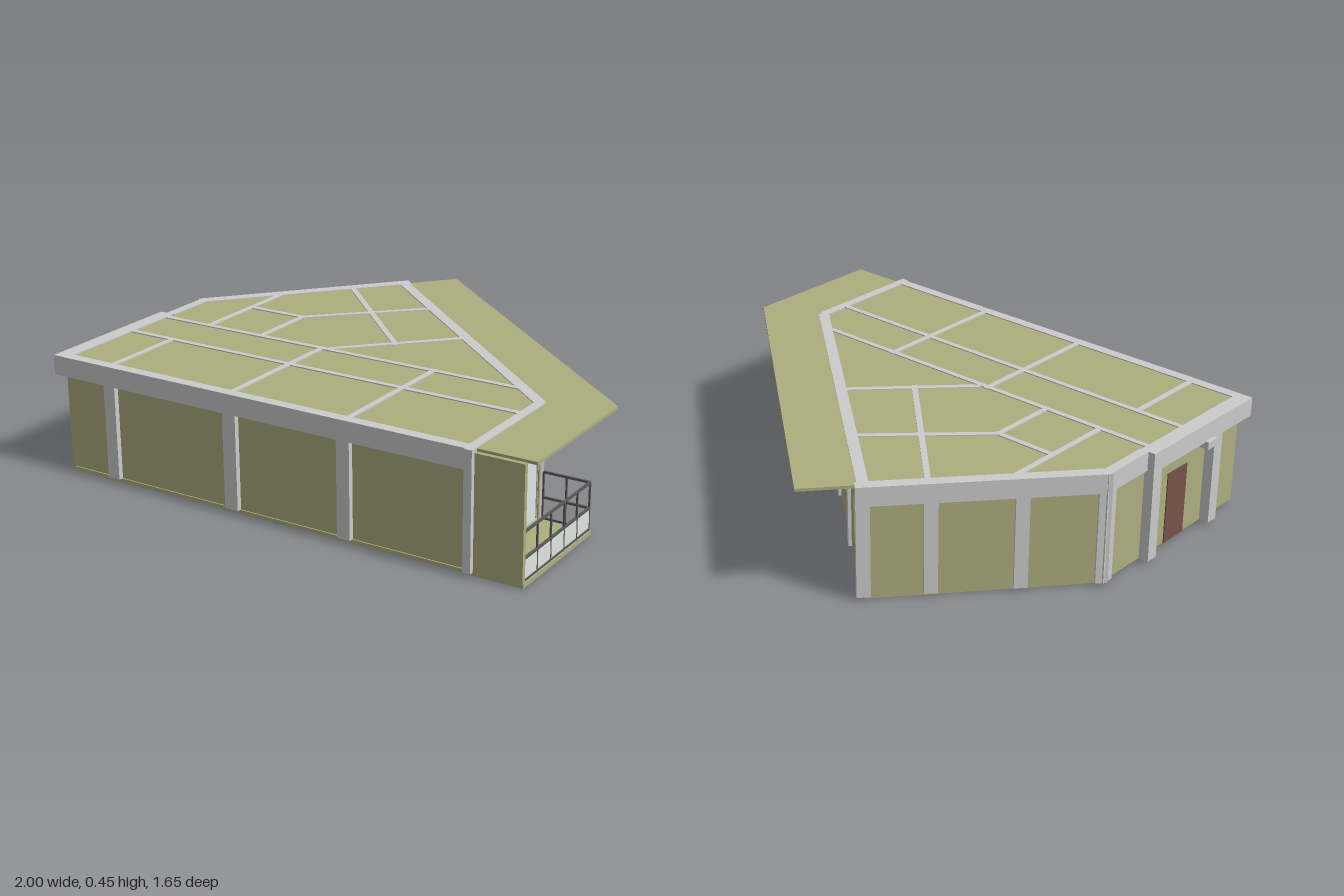
import * as THREE from 'three';

const mat = (color) => new THREE.MeshStandardMaterial({ color, side: THREE.DoubleSide });
const grey = new THREE.MeshStandardMaterial({ color: 0xcccccc });
const olive = mat(0xadad7f), glass = mat(0xdfe5e1), dark = mat(0x5a5a5a), brown = mat(0x76534a);

const FLOOR = 0.015, BEAM = 0.375, TOP = 0.45;

function add(parent, name, geo, material) {
  const m = new THREE.Mesh(geo, material);
  m.name = name;
  parent.add(m);
  return m;
}

// Box given by its minimum and maximum on each axis
function box(parent, name, material, x0, x1, y0, y1, z0, z1) {
  const m = add(parent, name, new THREE.BoxGeometry(x1 - x0, y1 - y0, z1 - z0), material);
  m.position.set((x0 + x1) / 2, (y0 + y1) / 2, (z0 + z1) / 2);
  return m;
}

// Horizontal slab from a plan outline of [x, z] points
function slab(parent, name, pts, y0, y1, material) {
  const shape = new THREE.Shape(pts.map(([x, z]) => new THREE.Vector2(x, -z)));
  const geo = new THREE.ExtrudeGeometry(shape, { depth: y1 - y0, bevelEnabled: false });
  geo.rotateX(-Math.PI / 2).translate(0, y0, 0);
  return add(parent, name, geo, material);
}

// Group whose x axis runs from a to b on the plan and whose z axis points outward
function side(parent, name, a, b) {
  const g = new THREE.Group();
  g.name = name;
  g.position.set(a[0], 0, a[1]);
  g.rotation.y = Math.atan2(a[1] - b[1], b[0] - a[0]);
  g.userData.length = Math.hypot(b[0] - a[0], b[1] - a[1]);
  parent.add(g);
  return g;
}

// Wall sheet with polygonal openings
function wall(g, openings = []) {
  const L = g.userData.length;
  const vec = (p) => p.map(([x, y]) => new THREE.Vector2(x, y));
  const shape = new THREE.Shape(vec([[0, FLOOR], [L, FLOOR], [L, 0.435], [0, 0.435]]));
  shape.holes = openings.map((p) => new THREE.Path(vec(p)));
  const geo = new THREE.ExtrudeGeometry(shape, { depth: 0.024, bevelEnabled: false });
  add(g, 'wall', geo.translate(0, 0, -0.024), olive);
}

const rect = (x0, x1, y0, y1) => [[x0, y0], [x0, y1], [x1, y1], [x1, y0]];

function columns(g, out, spans) {
  for (const [a, b] of spans) box(g, 'column', grey, a, b, FLOOR, BEAM + 0.01, -0.02, out);
}

// Glazed panel with a frame and evenly spaced mullions
function glazing(g, x0, x1, y0, y1, panels) {
  box(g, 'glass', glass, x0, x1, y0, y1, -0.016, -0.01);
  for (let i = 0; i <= panels; i++) {
    const x = x0 + (x1 - x0) * i / panels;
    box(g, 'mullion', grey, x - 0.003, x + 0.003, y0, y1, -0.018, -0.005);
  }
  for (const y of [y0, y1]) box(g, 'frame', grey, x0, x1, y - 0.003, y + 0.003, -0.018, -0.005);
}

export function createModel() {
  const model = new THREE.Group();
  model.name = 'pavilion';

  const A = [-0.945, 0.79], B = [0.77, 0.79], C = [0.77, 0.31], D = [-0.38, -0.665], E = [-0.945, -0.02];

  // Floor and overhanging roof
  slab(model, 'floor', [[-0.93, 0.795], [0.965, 0.795], [0.965, 0.3], [0.77, 0.3], [-0.385, -0.66], [-0.93, -0.02]], 0, FLOOR, olive);
  slab(model, 'roof', [[-0.95, 0.79], [1, 0.785], [1, 0.2], [-0.23, -0.83], [-0.375, -0.66], [-0.94, -0.02]], 0.435, 0.446, olive);

  // Front
  const front = side(model, 'frontSide', A, B);
  wall(front);
  box(front, 'beam', grey, -0.04, 1.725, BEAM, TOP, -0.02, 0.022);
  columns(front, 0.02, [[0.19, 0.24], [0.725, 0.78], [1.2, 1.252]]);
  box(front, 'cornerColumn', grey, 1.697, 1.727, FLOOR, TOP, -0.02, 0.03);

  // Balcony side with a sliding window
  const right = side(model, 'balconySide', B, C);
  wall(right, [rect(0.02, 0.47, 0.018, 0.32)]);
  glazing(right, 0.02, 0.47, 0.02, 0.318, 4);
  box(right, 'beam', grey, 0, 0.48, BEAM, TOP, -0.025, 0.01);

  // Long slanting side with a wide window and two windowed doors
  const slant = side(model, 'slantingSide', C, D);
  const entries = [0.886, 1.26];
  wall(slant, [rect(0.195, 0.72, 0.018, 0.315), ...entries.map((s) => [
    [s, 0.135], [s, 0.28], [s + 0.186, 0.28], [s + 0.186, 0.018], [s + 0.094, 0.018], [s + 0.094, 0.135]])]);
  glazing(slant, 0.195, 0.72, 0.02, 0.313, 4);
  for (const s of entries) {
    glazing(slant, s, s + 0.094, 0.138, 0.277, 2);
    glazing(slant, s + 0.097, s + 0.183, 0.02, 0.277, 1);
    box(slant, 'doorHandle', dark, s + 0.102, s + 0.112, 0.142, 0.152, -0.012, 0.004);
  }
  box(slant, 'beam', grey, 0, slant.userData.length, BEAM, TOP, -0.03, 0.012);
  columns(slant, 0.012, [[0, 0.055], [0.15, 0.193], [0.722, 0.778], [1.11, 1.165], [1.475, 1.515]]);

  // Back side
  const back = side(model, 'backSide', D, E);
  const bl = back.userData.length;
  wall(back);
  box(back, 'beam', grey, -0.02, bl + 0.01, BEAM, TOP, -0.025, 0.02);
  columns(back, 0.018, [[-0.02, 0.03], [0.28 * bl - 0.025, 0.28 * bl + 0.025], [0.65 * bl - 0.025, 0.65 * bl + 0.025], [bl - 0.035, bl + 0.01]]);

  // Left side with the entrance door and a wall lamp
  const left = side(model, 'leftSide', E, A);
  wall(left);
  box(left, 'beam', grey, -0.02, 0.21, BEAM, TOP, -0.025, 0.012);
  box(left, 'wideBeam', grey, 0.21, 0.83, BEAM, TOP, -0.02, 0.04);
  columns(left, 0.012, [[-0.02, 0.03]]);
  columns(left, 0.04, [[0.21, 0.26], [0.595, 0.645]]);
  box(left, 'entranceDoor', brown, 0.36, 0.48, FLOOR, 0.3, -0.01, 0.004);
  box(left, 'wallLamp', grey, 0.53, 0.585, 0.35, 0.38, 0, 0.055);

  // Ceiling beams showing through the roof
  const ribs = [
    [-0.93, 0.228, 0.67, 0.222], [-0.93, 0.435, 0.77, 0.435],
    [-0.733, 0.435, -0.733, 0.79], [-0.197, 0.21, -0.197, 0.79], [0.285, 0.21, 0.285, 0.79],
    [-0.72, -0.26, -0.72, 0.225], [-0.475, -0.05, -0.475, 0.225], [-0.72, -0.05, -0.46, -0.05],
    [-0.475, -0.05, -0.1, -0.41], [-0.52, -0.48, 0.02, 0.05], [0.2, -0.16, -0.17, 0.215],
  ];
  for (const [x0, z0, x1, z1] of ribs) {
    const g = side(model, 'ceilingBeam', [x0, z0], [x1, z1]);
    box(g, 'beam', grey, 0, g.userData.length, BEAM, TOP, -0.011, 0.011);
  }

  // Balcony screen wall
  box(model, 'screenWall', olive, 0.77, 0.965, FLOOR, 0.436, 0.785, 0.802);

  // Balcony railing: lower panel, rails and posts on two sides
  const runs = [[[0.957, 0.785], [0.957, 0.306], 5], [[0.957, 0.306], [0.78, 0.306], 2]];
  for (const [a, b, bays] of runs) {
    const g = side(model, 'railing', a, b);
    const L = g.userData.length;
    box(g, 'panel', glass, 0, L, 0.022, 0.098, -0.002, 0.002);
    for (const y of [0.022, 0.1, 0.195]) box(g, 'rail', dark, 0, L, y - 0.004, y + 0.004, -0.004, 0.004);
    for (let i = 0; i <= bays; i++) {
      const x = L * i / bays;
      box(g, 'post', dark, x - 0.003, x + 0.003, FLOOR, 0.195, -0.003, 0.003);
    }
  }
  return model;
}
